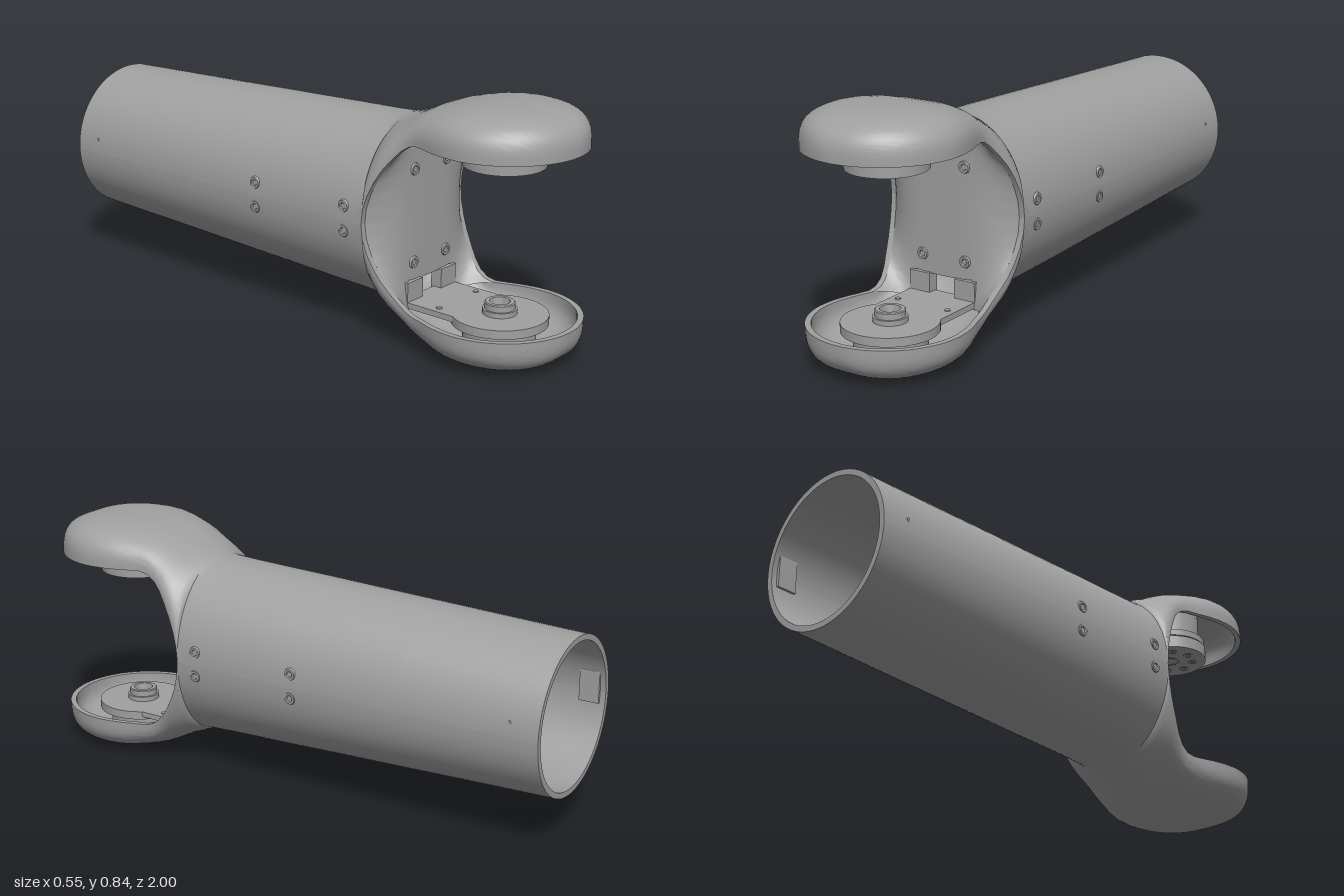
import * as THREE from 'three';
import { toCreasedNormals } from 'three/addons/utils/BufferGeometryUtils.js';

const CY = 0.4225;   // height of the tube axis
const JZ = 0.73;     // z of the joint axis
const R = 0.27;      // joint cap radius
const WALL = 0.02;

// Half shell stations: z, half width, half height, rim height above axis, section exponent
const STATIONS = [
  [-1, 0.267, 0.267, 0, 2], [-0.5, 0.272, 0.285, 0, 2], [0, 0.274, 0.304, 0, 2],
  [0.25, 0.271, 0.313, 0, 2], [0.34, 0.27, 0.318, 0, 2], [0.365, 0.268, 0.323, 0, 2],
  [0.37, 0.267, 0.324, 0.05, 2], [0.385, 0.262, 0.328, 0.1, 2], [0.405, 0.255, 0.335, 0.145, 2.1],
  [0.43, 0.246, 0.343, 0.187, 2.2], [0.46, 0.233, 0.357, 0.227, 2.3], [0.49, 0.224, 0.372, 0.258, 2.4],
  [0.52, 0.223, 0.385, 0.278, 2.6], [0.55, 0.228, 0.395, 0.286, 2.7], [0.59, 0.24, 0.405, 0.286, 2.8],
  [0.63, 0.254, 0.413, 0.286, 2.9], [0.68, 0.266, 0.419, 0.286, 3], [JZ, R, 0.422, 0.286, 3],
];
const CAP_STEPS = 18;

// Grid of points to a smooth surface with sharp edges; skip() can leave cells out
function gridGeometry(rows, closed, skip = () => false) {
  const n = rows[0].length, index = [];
  for (let i = 0; i + 1 < rows.length; i++) {
    for (let j = 0; j < (closed ? n : n - 1); j++) {
      const k = (j + 1) % n;
      if (skip(rows[i][j], rows[i + 1][k])) continue;
      const a = i * n + j, b = i * n + k, c = b + n, d = a + n;
      index.push(a, b, c, a, c, d);
    }
  }
  const g = new THREE.BufferGeometry();
  g.setAttribute('position', new THREE.Float32BufferAttribute(rows.flat(2), 3));
  g.setIndex(index);
  return toCreasedNormals(g, 0.65);
}

// Upper half of the shell: outer skin, inner skin and the rims between them
function shellGeometry() {
  const SEG = 44;
  const arc = (z, w, h, g, n) => Array.from({ length: SEG + 1 }, (_, j) => {
    const a = (j / SEG) * Math.PI, c = Math.cos(a), s = Math.max(0, Math.sin(a));
    return [w * Math.sign(c) * Math.abs(c) ** (2 / n), g + (h - g) * s ** (2 / n), z];
  });
  const rows = STATIONS.map(([z, w, h, g, n]) =>
    [...arc(z, w, h, g, n), ...arc(z, w - WALL, h - WALL, g, n).reverse()]);
  // annular face at the open back end
  const [z0, w0, h0, g0, n0] = STATIONS[0];
  const inner = arc(z0, w0 - WALL, h0 - WALL, g0, n0);
  rows.unshift([...inner, ...inner.slice().reverse()]);
  // rounded front of the joint cap
  for (let k = 1; k <= CAP_STEPS; k++) {
    const a = (k / CAP_STEPS) * Math.PI / 2, s = Math.sin(a), c = Math.cos(a);
    const rise = Math.max(0, 1 - s ** 3) ** (1 / 3), r = R - WALL;
    rows.push([
      ...arc(JZ + R * s, R * c, 0.286 + 0.136 * rise, 0.286, 3),
      ...arc(JZ + r * s, r * c, 0.286 + 0.116 * rise, 0.286, 3).reverse(),
    ]);
  }
  return gridGeometry(rows, true);
}

// Position and width of the fork's rim at a given distance from the axis
function rimAt(off) {
  for (let i = 5; i < 13; i++) {
    const a = STATIONS[i], b = STATIONS[i + 1];
    if (off <= b[3]) {
      const t = (off - a[3]) / (b[3] - a[3]);
      return { z: a[0] + (b[0] - a[0]) * t, w: a[1] + (b[1] - a[1]) * t - WALL };
    }
  }
  return { z: 0.55, w: 0.208 };
}

// Wall closing the fork, with a notch at the bottom for the bracket
function bulkheadGeometry() {
  const rows = [];
  for (let i = 0; i <= 64; i++) {
    const v = 1 - i / 32, rim = rimAt(Math.abs(v) * 0.286);
    rows.push(Array.from({ length: 53 }, (_, j) => {
      const u = j / 26 - 1;
      return [u * rim.w, CY + v * (0.286 + 0.04 * (1 - u * u)), rim.z + (0.44 - rim.z) * (1 - u ** 4)];
    }));
  }
  const inNotch = (p, q) => Math.abs(p[0] + q[0]) / 2 < 0.125 && (p[1] + q[1]) / 2 < 0.2;
  // rows run downward, so flip each one to face forward
  return gridGeometry(rows.map((r) => r.reverse()).reverse(), false, inNotch);
}

export function createModel() {
  const model = new THREE.Group();
  const grey = new THREE.MeshStandardMaterial({ color: 0xa0a0a0, side: THREE.DoubleSide });
  grey.name = 'grey';

  const add = (name, geometry, x = 0, y = 0, z = 0, parent = model) => {
    const mesh = new THREE.Mesh(geometry, grey);
    mesh.name = name;
    mesh.position.set(x, y, z);
    parent.add(mesh);
    return mesh;
  };
  const lathe = (points) => toCreasedNormals(
    new THREE.LatheGeometry(points.map(([r, y]) => new THREE.Vector2(r, y)), 56), 0.5);
  const box = (name, x0, x1, y0, y1, z0, z1) => add(name,
    new THREE.BoxGeometry(x1 - x0, y1 - y0, z1 - z0), (x0 + x1) / 2, (y0 + y1) / 2, (z0 + z1) / 2);

  // Tube and fork
  const shell = shellGeometry();
  add('upperShell', shell, 0, CY, 0);
  add('lowerShell', shell, 0, CY, 0).rotation.z = Math.PI;
  add('bulkhead', bulkheadGeometry());

  // Screw seats: a low ring around a sunken centre, axis along y before turning
  const seat = lathe([[0, 0.001], [0.009, 0.001], [0.012, 0.004], [0.019, 0.004], [0.022, -0.004]]);
  for (const x of [-0.085, 0.085]) {
    for (const y of [0.2625, 0.5825]) {
      add('bulkheadScrew', seat, x, y, 0.441).rotation.x = Math.PI / 2;
    }
  }
  for (const side of [-1, 1]) {
    for (const z of [0.29, -0.1]) {
      for (const y of [0.385, 0.47]) {
        add('sideScrew', seat, side * (z > 0 ? 0.268 : 0.271), y, z).rotation.z = -side * Math.PI / 2;
      }
    }
    // locating pin and catch near the open end
    add('pin', new THREE.CylinderGeometry(0.006, 0.006, 0.008, 16), side * 0.262, 0.47, -0.9)
      .rotation.z = Math.PI / 2;
    add('catch', new THREE.BoxGeometry(0.014, 0.11, 0.07), side * 0.243, 0.44, -0.945);
  }

  // Upper joint flange hanging under the top cap
  add('upperFlange', lathe([
    [0, 0.637], [0.135, 0.637], [0.135, 0.682], [0.125, 0.682], [0.125, 0.688],
    [0.13, 0.688], [0.13, 0.712], [0.11, 0.712], [0.11, 0.825], [0, 0.825],
  ]), 0, 0, JZ);
  const bolt = new THREE.TorusGeometry(0.013, 0.004, 8, 20);
  for (let i = 0; i < 8; i++) {
    const a = (i / 8) * Math.PI * 2;
    add('flangeBolt', bolt, 0.085 * Math.cos(a), 0.638, JZ + 0.085 * Math.sin(a)).rotation.x = Math.PI / 2;
  }
  add('flangeCentre', new THREE.TorusGeometry(0.03, 0.004, 8, 28), 0, 0.638, JZ).rotation.x = Math.PI / 2;

  // Lower joint plate with its hollow boss
  add('lowerPlate', lathe([
    [0, 0.03], [0.12, 0.03], [0.12, 0.105], [0.16, 0.105], [0.16, 0.135], [0.057, 0.135],
    [0.057, 0.152], [0.05, 0.152], [0.05, 0.172], [0.047, 0.175], [0.034, 0.175], [0.03, 0.145], [0, 0.145],
  ]), 0, 0, JZ);

  // Bracket joining the lower plate to the bulkhead
  box('bracketTongue', -0.13, 0.13, 0.115, 0.135, 0.42, 0.69);
  for (const side of [-1, 1]) {
    const a = side * 0.05, b = side * 0.13;
    box('bracketEar', Math.min(a, b), Math.max(a, b), 0.12, 0.202, 0.41, 0.452);
    add('bracketScrew', new THREE.CylinderGeometry(0.01, 0.01, 0.006, 16), side * 0.1, 0.136, 0.56);
  }
  return model;
}
